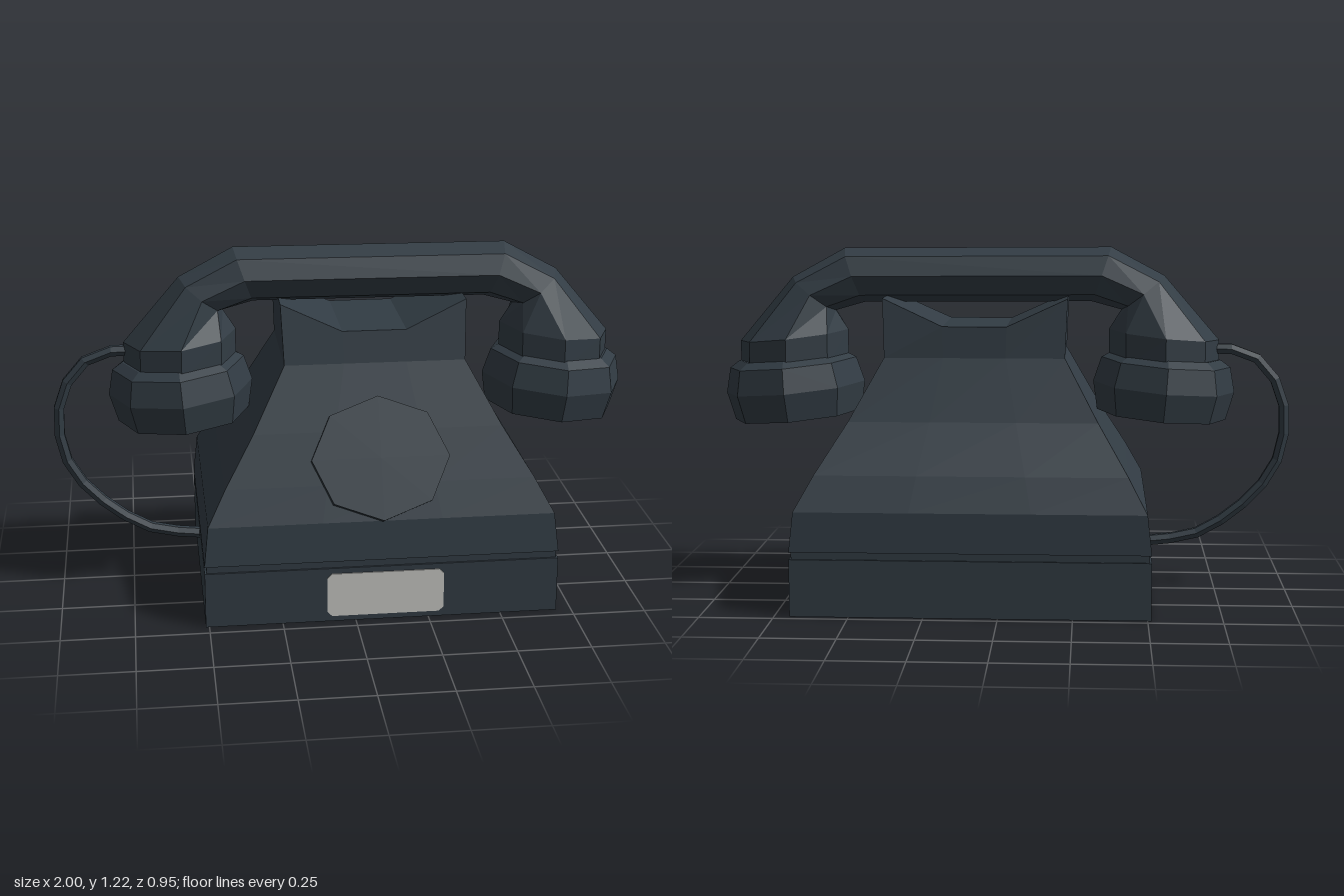
import * as THREE from 'three';

const CX = 0.093; // centre line of the body and handset
const CZ = 0.03;  // depth of the handset and cord

const dark = new THREE.MeshStandardMaterial({ color: 0x323c44, flatShading: true });
dark.name = 'dark slate';
const pale = new THREE.MeshStandardMaterial({ color: 0xc6c7c3, flatShading: true });
pale.name = 'pale grey';

function add(parent, name, geometry, material = dark) {
  const mesh = new THREE.Mesh(geometry, material);
  mesh.name = name;
  parent.add(mesh);
  return mesh;
}

// Skin over rings of eight points, counter-clockwise seen from the far end, with both ends closed
function loft(rings) {
  const n = 8, last = (rings.length - 1) * n, index = [];
  const quad = (a, b, c, d) => index.push(a, b, c, a, c, d);
  for (let r = 0; r < rings.length - 1; r++) {
    for (let i = 0; i < n; i++) {
      const j = (i + 1) % n;
      quad(r * n + i, r * n + j, (r + 1) * n + j, (r + 1) * n + i);
    }
  }
  for (let i = 0; i < 3; i++) {
    quad(last + i, last + i + 1, last + 6 - i, last + 7 - i);
    quad(7 - i, 6 - i, i + 1, i);
  }
  const geometry = new THREE.BufferGeometry();
  geometry.setAttribute('position', new THREE.Float32BufferAttribute(rings.flat(2), 3));
  geometry.setIndex(index);
  geometry.computeVertexNormals();
  return geometry;
}

// Rectangular body section; a notch lowers the middle of the top edge
function bodyRing([y, hx, back, front, notch = 0, inset = 0]) {
  const k = 0.345;
  const xs = [-hx, -hx * k, hx * k, hx];
  const row = (z, lean) => xs.map((x, i) => {
    const mid = i === 1 || i === 2;
    return [CX + x, y - (mid ? notch : 0), z + (mid ? lean : 0)];
  });
  return [...row(front, inset), ...row(back, -inset).reverse()];
}

function createBody(parent) {
  const box = (name, h, y, shrink) => {
    add(parent, name, new THREE.BoxGeometry(1.21 - shrink, h, 0.93 - shrink))
      .position.set(CX, y, -0.01);
  };
  box('base', 0.195, 0.0975, 0);
  box('baseGroove', 0.03, 0.208, 0.014);

  // height, half width, back z, front z
  add(parent, 'body', loft([
    [0.22, 0.605, -0.475, 0.455],
    [0.355, 0.59, -0.47, 0.44],
    [0.47, 0.527, -0.413, 0.389],
    [0.635, 0.425, -0.294, 0.315],
    [0.845, 0.31, -0.207, 0.22],
    [1.047, 0.318, -0.177, 0.175, 0.095, 0.021],
  ].map(bodyRing)));

  // Octagonal dial lying on the sloping front
  const tilt = 0.46, depth = 0.05;
  const dial = add(parent, 'dial', new THREE.CylinderGeometry(0.235, 0.235, depth, 8));
  dial.rotation.x = Math.PI / 2 - tilt;
  dial.scale.z = 0.9;
  dial.position.set(CX, 0.56 - Math.sin(tilt) * depth / 2, 0.383 - Math.cos(tilt) * depth / 2);

  // Label plate with clipped corners
  const w = 0.2, h = 0.078, c = 0.016;
  const shape = new THREE.Shape([
    [-w + c, -h], [w - c, -h], [w, -h + c], [w, h - c],
    [w - c, h], [-w + c, h], [-w, h - c], [-w, -h + c],
  ].map(([x, y]) => new THREE.Vector2(x, y)));
  add(parent, 'labelPlate', new THREE.ExtrudeGeometry(shape, { depth: 0.006, bevelEnabled: false }), pale)
    .position.set(0.102, 0.098, 0.453);
}

function createHandset() {
  const handset = new THREE.Group();
  handset.name = 'handset';

  // Left half: outer x, y, inner x, y, half depth
  const half = [
    [-0.85, 0.80, -0.463, 0.81, 0.195],
    [-0.85, 0.885, -0.463, 0.925, 0.192],
    [-0.657, 1.112, -0.506, 0.993, 0.112],
    [-0.47, 1.213, -0.402, 1.022, 0.104],
  ];
  const mirrored = half.map(([ox, oy, ix, iy, d]) => [-ox, oy, -ix, iy, d]).reverse();
  const rings = [...half, ...mirrored].map(([ox, oy, ix, iy, d]) =>
    Array.from({ length: 8 }, (_, i) => {
      const a = i * Math.PI / 4, c = Math.cos(a) / 2;
      return [(ox + ix) / 2 + (ix - ox) * c, (oy + iy) / 2 + (iy - oy) * c, -d * Math.sin(a)];
    }));
  add(handset, 'handle', loft(rings));

  // Ear and mouth cups, with a recess underneath
  const profile = [
    [0, 0.045], [0.115, 0.045], [0.155, 0], [0.228, 0],
    [0.25, 0.1], [0.228, 0.187], [0.192, 0.21], [0, 0.21],
  ].map(([r, y]) => new THREE.Vector2(r, y - 0.1));
  for (const side of [-1, 1]) {
    const cup = add(handset, side < 0 ? 'earCup' : 'mouthCup', new THREE.LatheGeometry(profile, 8));
    cup.position.set(side * 0.656, 0.72, 0);
    cup.rotation.z = -side * 0.085;
  }
  handset.position.set(CX - 0.004, 0, CZ);
  handset.rotation.z = -0.006;
  return handset;
}

function createCord(parent) {
  const path = new THREE.CatmullRomCurve3([
    [-0.70, 0.86], [-0.77, 0.86], [-0.85, 0.85], [-0.925, 0.79], [-0.98, 0.69], [-0.98, 0.508],
    [-0.92, 0.385], [-0.805, 0.272], [-0.675, 0.195], [-0.49, 0.167],
  ].map(([x, y]) => new THREE.Vector3(x, y, CZ - 0.005)));
  add(parent, 'cord', new THREE.TubeGeometry(path, 12, 0.02, 6));
}

export function createModel() {
  const model = new THREE.Group();
  model.name = 'telephone';
  createBody(model);
  model.add(createHandset());
  createCord(model);
  return model;
}
